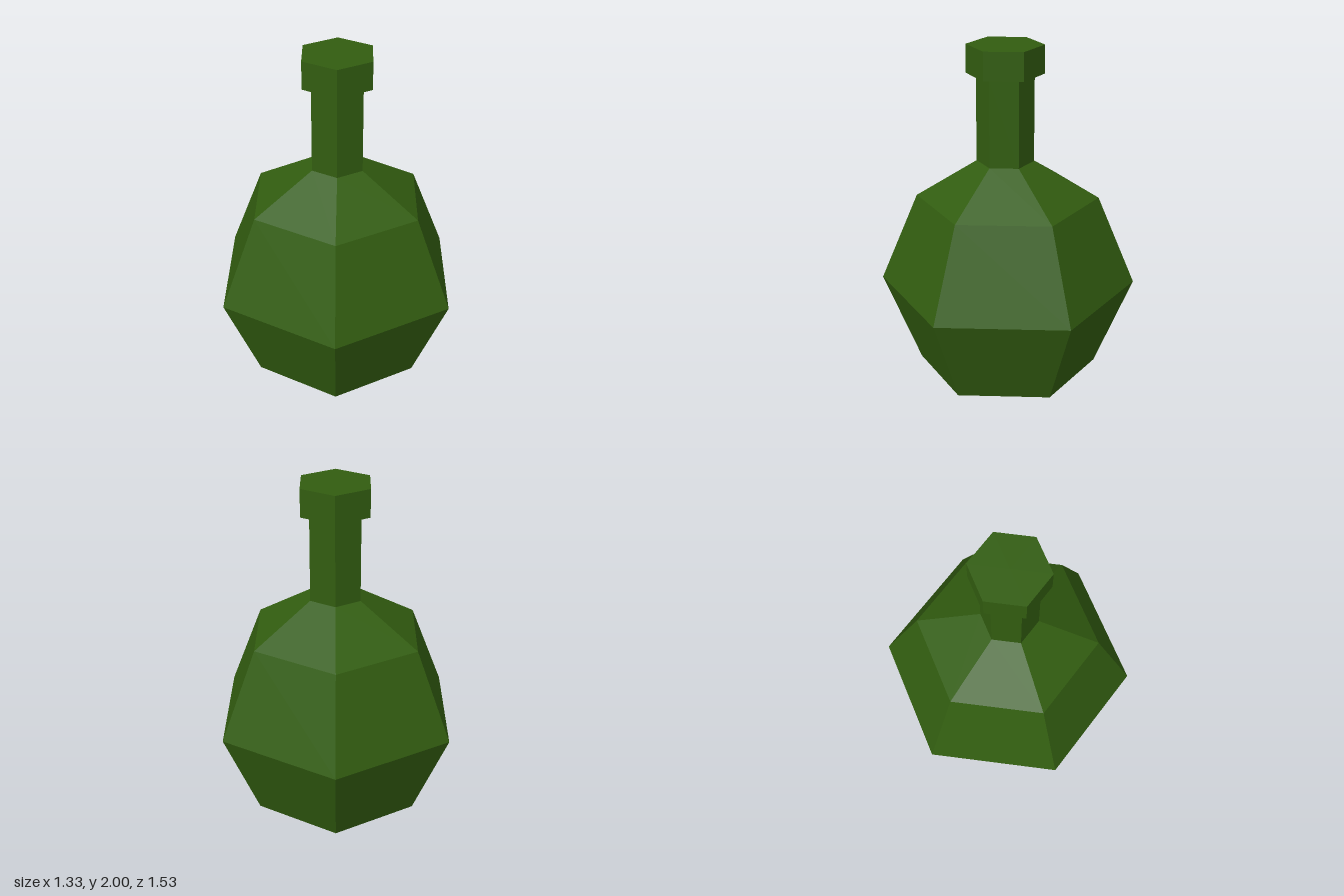
import * as THREE from 'three';

const SIDES = 6;
// the neck and cap sit slightly off the body's axis
const OFF_X = 0.005, OFF_Z = 0.012;

export function createModel() {
  const model = new THREE.Group();
  model.name = 'bottle';
  const green = new THREE.MeshStandardMaterial({ color: 0x325d10, flatShading: true });
  green.name = 'bottle green';

  // six-sided turned part from [radius, height] pairs, bottom to top
  const turned = (name, profile) => {
    const points = profile.map(([r, y]) => new THREE.Vector2(r, y));
    const mesh = new THREE.Mesh(new THREE.LatheGeometry(points, SIDES), green);
    mesh.name = name;
    model.add(mesh);
    return mesh;
  };

  // faceted belly with sloping shoulder; its top ring follows the neck
  const body = turned('body', [[0, 0], [0.54, 0], [0.765, 0.545], [0.54, 1.085], [0.168, 1.31]]);
  const pos = body.geometry.attributes.position;
  for (let i = 0; i < pos.count; i++) {
    if (pos.getY(i) > 1.2) {
      pos.setX(i, pos.getX(i) + OFF_X);
      pos.setZ(i, pos.getZ(i) + OFF_Z);
    }
  }
  body.geometry.computeVertexNormals();

  // straight neck
  const neck = turned('neck', [[0.168, 1.31], [0.168, 1.833]]);
  // wider lip with closed top and underside
  const lip = turned('lip', [[0.168, 1.833], [0.225, 1.833], [0.225, 2], [0, 2]]);
  for (const part of [neck, lip]) part.position.set(OFF_X, 0, OFF_Z);

  return model;
}
